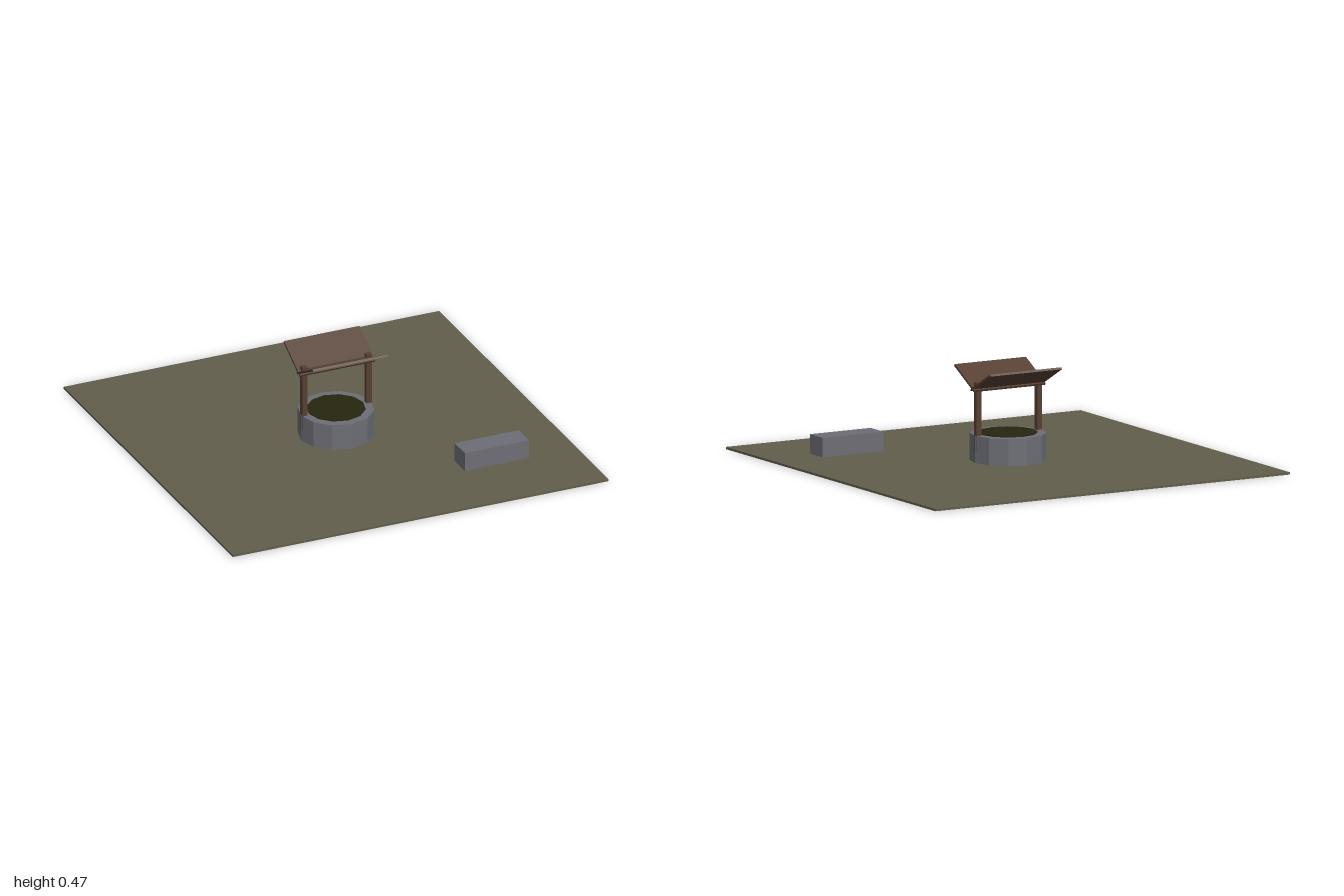
import * as THREE from 'three';

const mat = (name, color) => {
  const m = new THREE.MeshStandardMaterial({ color, flatShading: true });
  m.name = name;
  return m;
};

export function createModel() {
  const group = new THREE.Group();
  const earth = mat('earth', 0x625e4c);
  const stone = mat('stone', 0x6d6e75);
  const wood = mat('wood', 0x564032);
  const water = mat('darkWater', 0x27250e);

  const add = (name, geometry, material, x, y, z) => {
    const mesh = new THREE.Mesh(geometry, material);
    mesh.name = name;
    mesh.position.set(x, y, z);
    group.add(mesh);
    return mesh;
  };

  // Ground slab and loose stone block
  add('ground', new THREE.BoxGeometry(2, 0.011, 2), earth, 0, 0.0055, 0);
  add('stoneBlock', new THREE.BoxGeometry(0.343, 0.106, 0.12), stone, 0.572, 0.054, 0.572);

  // Twelve-sided well with a dark water disc on top
  add('wellWall', new THREE.CylinderGeometry(0.187, 0.187, 0.139, 12), stone, 0, 0.0755, 0);
  add('water', new THREE.CylinderGeometry(0.144, 0.144, 0.008, 12), water, 0, 0.146, 0);

  // Posts stand partly in the wall and pass through the roof valley
  for (const side of [-1, 1]) {
    add(side > 0 ? 'leftPost' : 'rightPost',
      new THREE.BoxGeometry(0.027, 0.341, 0.027), wood, side * 0.171, 0.2365, 0);
  }

  // Cross beam and two roof boards meeting in a V
  add('crossBeam', new THREE.BoxGeometry(0.37, 0.018, 0.018), wood, 0, 0.38, 0);
  for (const side of [-1, 1]) {
    const board = add(side > 0 ? 'frontRoofBoard' : 'backRoofBoard',
      new THREE.BoxGeometry(0.402, 0.011, 0.214), wood, 0, 0.419, side * 0.077);
    board.rotation.x = -side * 0.49;
  }
  return group;
}
